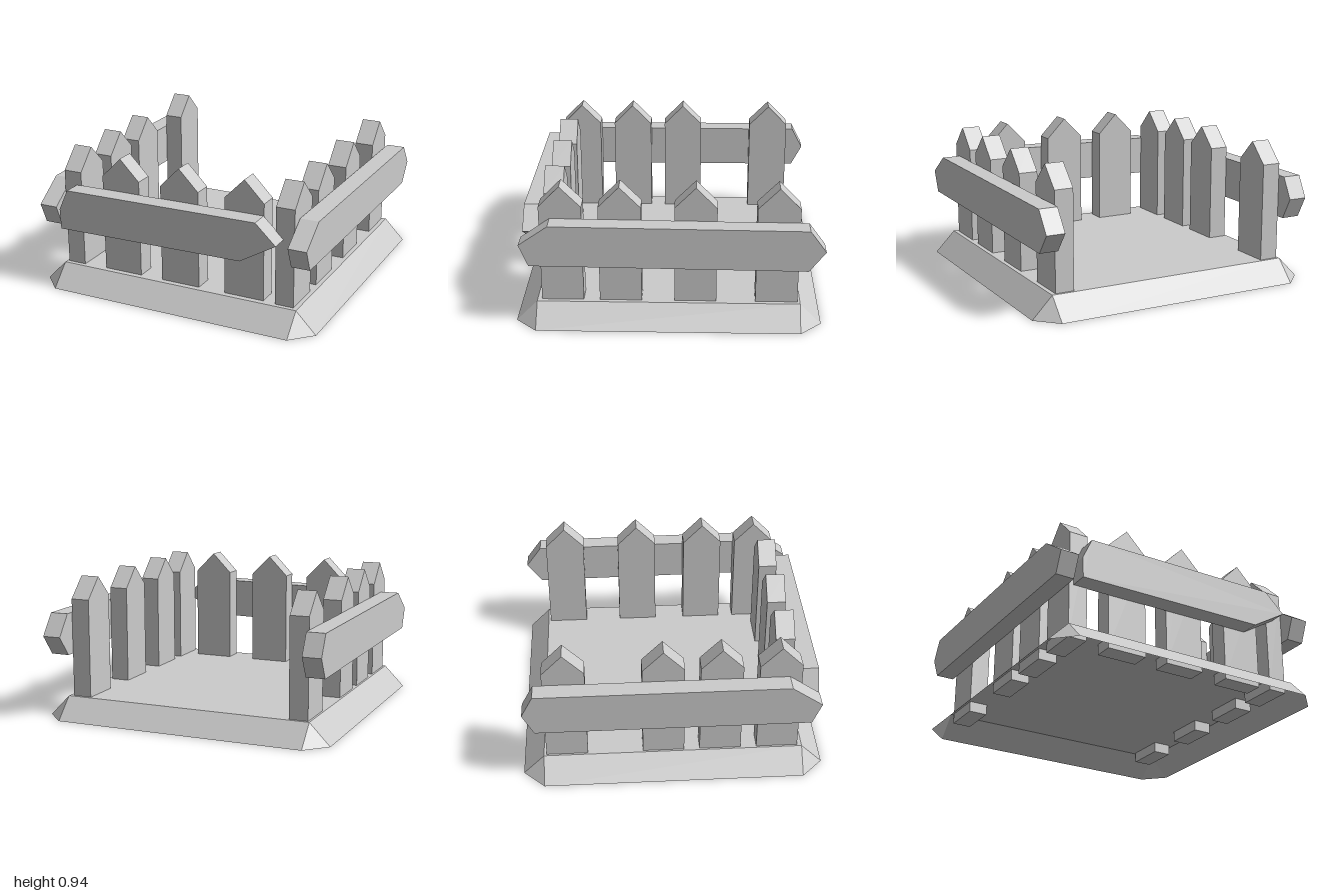
import * as THREE from 'three';

const material = new THREE.MeshStandardMaterial({ color: 0xcccccc, flatShading: true, side: THREE.DoubleSide });

// Flat board cut from an outline, with its near face at z = 0
function board(name, points, thickness) {
  const shape = new THREE.Shape(points.map(([a, b]) => new THREE.Vector2(a, b)));
  const geometry = new THREE.ExtrudeGeometry(shape, { depth: thickness, bevelEnabled: false });
  const mesh = new THREE.Mesh(geometry, material);
  mesh.name = name;
  return mesh;
}

// Turn a board so its length runs along z and its outer face lies at x
function alongZ(mesh, x) {
  mesh.rotation.y = -Math.PI / 2;
  mesh.position.x = x;
  return mesh;
}

// Pointed picket centred on its width
function picket(name, centre) {
  const w = 0.1375;
  return board(name, [
    [centre - w, 0.07], [centre + w, 0.07], [centre + w, 0.805],
    [centre, 0.945], [centre - w, 0.805],
  ], 0.128);
}

// Hollow floor tray: square top, sloping sides and triangular corners, open below
function floorTray() {
  const t = 0.86, h = 0.143, positions = [];
  const up = new THREE.Vector3(0, 1, 0);
  const add = (turn, ...corners) => {
    for (const c of corners) positions.push(...new THREE.Vector3(...c).applyAxisAngle(up, turn).toArray());
  };
  for (let i = 0; i < 4; i++) {
    const turn = i * Math.PI / 2;
    const a = [-t, 0, 1], b = [t, 0, 1], c = [t, h, t], d = [-t, h, t];
    add(turn, a, b, c, a, c, d); // side slope
    add(turn, b, [1, 0, t], c); // corner
    add(turn, d, c, [0, h, 0]); // quarter of the floor
  }
  const geometry = new THREE.BufferGeometry();
  geometry.setAttribute('position', new THREE.Float32BufferAttribute(positions, 3));
  geometry.computeVertexNormals();
  const mesh = new THREE.Mesh(geometry, material);
  mesh.name = 'floorTray';
  return mesh;
}

export function createModel() {
  const group = new THREE.Group();
  group.name = 'fencedPlatform';
  group.add(floorTray());

  // Pickets on three sides
  for (const x of [-0.418, 0.017, 0.48]) {
    const p = picket('frontPicket', x);
    p.position.z = 0.693;
    group.add(p);
  }
  for (const z of [0.693, 0.313, -0.175, -0.705]) group.add(alongZ(picket('leftPicket', z), 0.83));
  for (const z of [0.693, 0.313, -0.065, -0.705]) group.add(alongZ(picket('rightPicket', z), -0.718));

  // Rough-cut rails
  const front = board('frontRail', [
    [-0.815, 0.433], [0.51, 0.45], [0.755, 0.595], [0.615, 0.727], [-0.755, 0.712], [-0.82, 0.57],
  ], 0.128);
  front.position.z = 0.823;
  group.add(front);

  group.add(alongZ(board('leftRail', [
    [-0.895, 0.433], [0.89, 0.45], [0.95, 0.595], [0.76, 0.727], [-0.895, 0.713], [-1, 0.57],
  ], 0.126), 0.96));

  group.add(alongZ(board('rightRail', [
    [-0.9, 0.437], [0.89, 0.437], [0.95, 0.58], [0.75, 0.722], [-0.9, 0.722], [-0.975, 0.58],
  ], 0.126), -0.847));

  return group;
}
